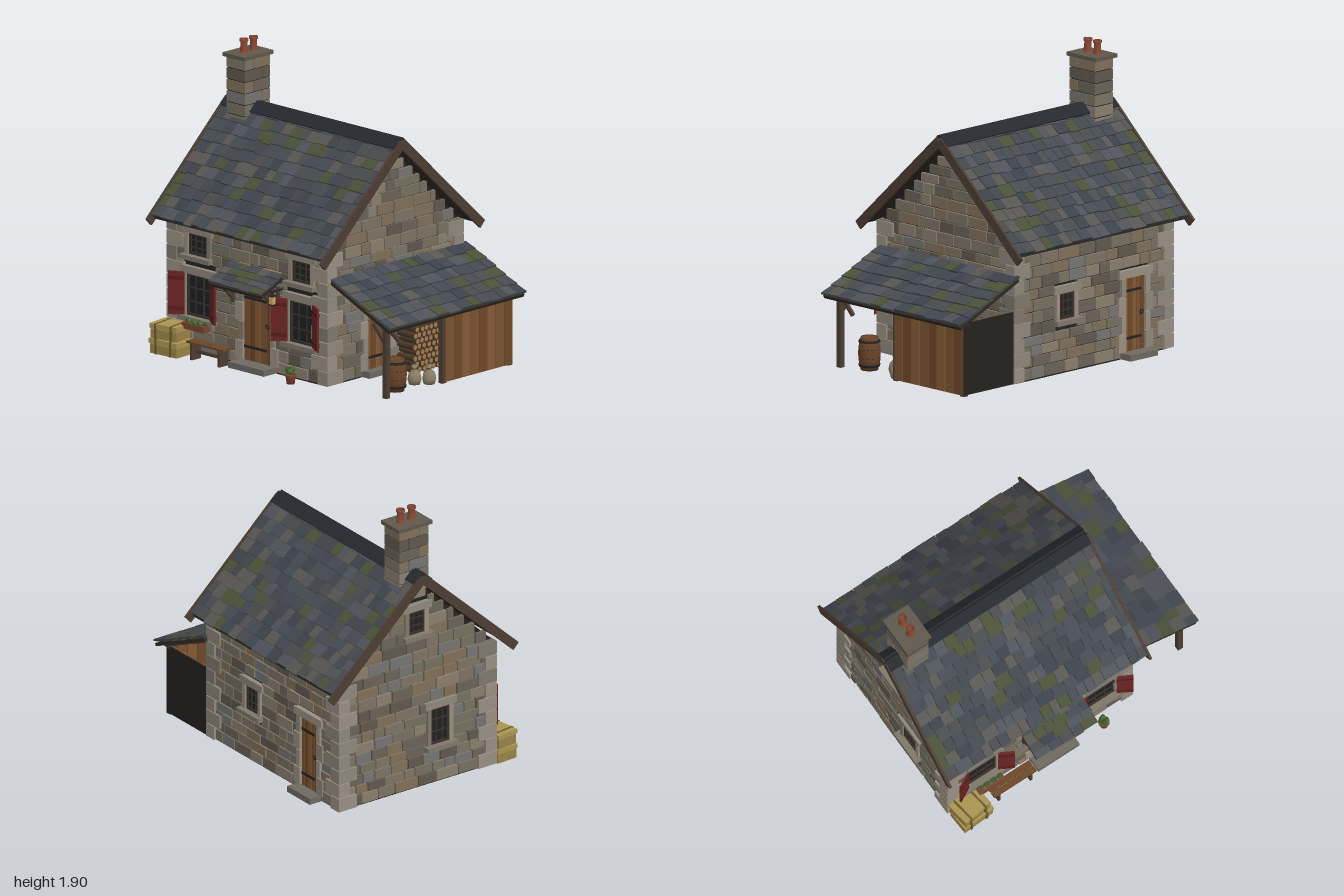
import * as THREE from 'three';
import { mergeGeometries } from 'three/addons/utils/BufferGeometryUtils.js';

const STONE = [0x7d7464, 0x6b6357, 0x8a7f6e, 0x5f584d, 0x75705f, 0x80705a, 0x777572];
const QUOIN = [0x8f877a, 0x7f786b, 0x999083];
const SLATE = [0x454a52, 0x3c4149, 0x4e5259, 0x484a4c, 0x424750, 0x575653, 0x41454c, 0x4a5038];
const PLANK = [0x7a5230, 0x6d4829, 0x845a35];
const DARK = 0x25221f, BEAM = 0x4b3d32, IRON = 0x232325, RED = 0x6e2424;

let seed = 7;
const rnd = () => (seed = (seed * 16807) % 2147483647) / 2147483647;
const pick = (list) => list[Math.floor(rnd() * list.length)];
const materials = new Map();
const material = (c) => {
  if (!materials.has(c)) materials.set(c, new THREE.MeshStandardMaterial({ color: c }));
  return materials.get(c);
};

// Collects geometry by colour, then merges it into one mesh per colour
function batch(parent, name) {
  const sets = new Map();
  const b = {
    add(color, geo, x = 0, y = 0, z = 0, rx = 0, ry = 0, rz = 0) {
      const g = geo.index ? geo.toNonIndexed() : geo;
      g.applyMatrix4(new THREE.Matrix4().makeRotationFromEuler(new THREE.Euler(rx, ry, rz, 'YXZ')).setPosition(x, y, z));
      if (!sets.has(color)) sets.set(color, []);
      sets.get(color).push(g);
    },
    box(color, w, h, d, ...place) { b.add(color, new THREE.BoxGeometry(w, h, d), ...place); },
    cyl(color, r1, r2, h, ...place) { b.add(color, new THREE.CylinderGeometry(r1, r2, h, 14), ...place); },
    lathe(color, pts, ...place) { b.add(color, new THREE.LatheGeometry(pts.map((p) => new THREE.Vector2(...p)), 18), ...place); },
    done() {
      const group = new THREE.Group();
      group.name = name;
      for (const [c, list] of sets) {
        const m = new THREE.Mesh(mergeGeometries(list), material(c));
        m.name = name;
        group.add(m);
      }
      parent.add(group);
    },
  };
  return b;
}

// Courses of stones that leave room for openings [x0, x1, y0, y1]
function stoneWall(face, name, halfAt, top, holes) {
  const b = batch(face, name);
  for (let y = 0.02; top - y > 0.025;) {
    const h = Math.min(0.062 + rnd() * 0.018, top - y), half = halfAt(y + h);
    let spans = [[-half, half]];
    for (const [x0, x1, y0, y1] of holes) {
      if (Math.min(y + h, y1) - Math.max(y, y0) < 0.025) continue;
      spans = spans.flatMap(([a, c]) => (x1 < a || x0 > c ? [[a, c]] : [[a, x0], [x1, c]])).filter(([a, c]) => c - a > 0.015);
    }
    for (const [a, c] of spans) {
      for (let x = a; x < c - 0.001;) {
        let w = 0.07 + rnd() * 0.12;
        if (c - x - w < 0.05) w = c - x;
        b.box(pick(STONE), w - 0.009, h - 0.009, 0.03, x + w / 2, y + h / 2, -0.015 - rnd() * 0.007);
        x += w;
      }
    }
    y += h;
  }
  b.done();
}

// Window with stone surround; returns the hole it needs
function windowUnit(face, x, y0, y1, w) {
  const b = batch(face, 'window'), h = y1 - y0, y = (y0 + y1) / 2;
  b.box(0x1d2124, w, h, 0.01, x, y, -0.022);
  for (const s of [-1, 1]) {
    b.box(pick(QUOIN), 0.03, h, 0.035, x + s * (w / 2 + 0.015), y, -0.012);
    b.box(0x3b3028, 0.014, h, 0.014, x + s * (w / 2 - 0.007), y, -0.012);
    b.box(0x3b3028, w, 0.014, 0.014, x, y + s * (h / 2 - 0.007), -0.012);
  }
  for (const f of [-1, 1]) b.box(0x3b3028, 0.007, h, 0.01, x + f * w / 6, y, -0.014);
  for (const f of [-1, 1]) b.box(0x3b3028, w, 0.007, 0.01, x, y + f * h / 6, -0.014);
  b.box(QUOIN[0], w + 0.1, 0.048, 0.045, x, y1 + 0.024, -0.011);
  b.box(QUOIN[1], w + 0.1, 0.03, 0.07, x, y0 - 0.015, 0.003);
  b.done();
  return [x - w / 2 - 0.03, x + w / 2 + 0.03, y0 - 0.03, y1 + 0.048];
}

// Plank door with straps, stone frame and step
function doorUnit(face, x, w, top, step) {
  const b = batch(face, 'door'), y0 = 0.055, h = top - y0, y = y0 + h / 2, n = 5;
  b.box(DARK, w, h, 0.01, x, y, -0.024);
  for (let i = 0; i < n; i++) b.box(PLANK[i % 3], w / n - 0.005, h, 0.014, x + ((i + 0.5) / n - 0.5) * w, y, -0.015);
  for (const f of [0.18, 0.82]) b.box(IRON, w * 0.8, 0.016, 0.008, x - w * 0.08, y0 + h * f, -0.006);
  b.add(IRON, new THREE.TorusGeometry(0.013, 0.004, 6, 12), x + w * 0.35, y, -0.004);
  for (const s of [-1, 1]) for (let k = 0; k < 4; k++) {
    const jw = k % 2 ? 0.04 : 0.065;
    b.box(pick(QUOIN), jw, h / 4 - 0.006, 0.04, x + s * (w / 2 + jw / 2), y0 + (k + 0.5) * h / 4, -0.012);
  }
  b.box(QUOIN[2], w + 0.12, 0.05, 0.045, x, top + 0.025, -0.011);
  b.box(0x6f6a62, w + 0.07, 0.04, step + 0.03, x, 0.035, step / 2 - 0.015);
  b.done();
  return [x - w / 2 - 0.04, x + w / 2 + 0.04, 0, top + 0.05];
}

// Slope of overlapping slates: local z runs down the slope from its top edge
function slateRoof(parent, name, width, length, rows, pos, yaw, pitch, ridge) {
  const g = new THREE.Group();
  g.name = name;
  g.position.set(...pos);
  g.rotation.set(pitch, yaw, 0, 'YXZ');
  parent.add(g);
  const b = batch(g, name + 'Slates'), step = length / rows;
  b.box(0x2e2822, width - 0.01, 0.02, length - 0.01, 0, -0.02, length / 2);
  for (let r = 0; r < rows; r++) {
    const len = r ? step * 1.4 : step;
    for (let x = -width / 2; x < width / 2 - 0.001;) {
      let w = 0.055 + rnd() * 0.06;
      if (width / 2 - x - w < 0.04) w = width / 2 - x;
      const end = (r + 1) * step + (rnd() - 0.5) * 0.014;
      b.box(pick(SLATE), w - 0.004, 0.012, len, x + w / 2, 0.002 + rnd() * 0.004, end - len / 2, -0.09);
      x += w;
    }
  }
  if (ridge) b.box(0x26292e, width, 0.018, 0.085, 0, 0.014, 0.036);
  b.done();
}

function barrel(parent, x, z) {
  const b = batch(parent, 'barrel');
  b.lathe(0x6b4428, [[0, 0], [0.055, 0], [0.068, 0.06], [0.071, 0.105], [0.068, 0.15], [0.055, 0.21], [0.05, 0.205], [0, 0.2]], x, 0.01, z);
  for (const y of [0.03, 0.075, 0.14, 0.185]) b.cyl(IRON, y > 0.1 ? 0.066 : 0.07, y > 0.1 ? 0.07 : 0.066, 0.014, x, y + 0.01, z);
  b.done();
}

export function createModel() {
  const model = new THREE.Group();
  model.name = 'cottage';
  const CX = -0.23, CZ = -0.05, HX = 0.69, HZ = 0.6, APEX = 1.44, SLOPE = 0.927;

  // Dark mortar core under the stones
  const outline = new THREE.Shape([[-HZ, 0.01], [HZ, 0.01], [HZ, 0.884], [0, APEX], [-HZ, 0.884]].map(([x, y]) => new THREE.Vector2(x * 0.965, y)));
  const core = batch(model, 'mortarCore');
  const coreGeo = new THREE.ExtrudeGeometry(outline, { depth: 2 * HX - 0.046, bevelEnabled: false }).translate(0, 0, -HX + 0.023);
  core.add(DARK, coreGeo, CX, 0, CZ, 0, Math.PI / 2);
  core.done();

  // Four walls, each in its own frame with local z facing outwards
  const wall = (name, x, z, yaw) => {
    const f = new THREE.Group();
    f.name = name;
    f.position.set(x, 0, z);
    f.rotation.y = yaw;
    model.add(f);
    return f;
  };
  const gableHalf = (y) => Math.min(HZ, (APEX - y) / SLOPE + 0.012);
  const front = wall('frontWall', CX, CZ + HZ, 0), back = wall('backWall', CX, CZ - HZ, Math.PI);
  const leftSide = wall('rightViewWall', CX + HX, CZ, Math.PI / 2), rightSide = wall('chimneySideWall', CX - HX, CZ, -Math.PI / 2);
  stoneWall(front, 'frontStones', () => HX, 0.88, [
    windowUnit(front, -0.43, 0.25, 0.52, 0.21), windowUnit(front, 0.465, 0.25, 0.52, 0.21),
    windowUnit(front, -0.435, 0.645, 0.785, 0.16), windowUnit(front, 0.465, 0.645, 0.785, 0.16),
    doorUnit(front, 0.08, 0.24, 0.55, 0.1)]);
  stoneWall(back, 'backStones', () => HX, 0.88, [windowUnit(back, -0.23, 0.36, 0.53, 0.13), doorUnit(back, 0.37, 0.17, 0.53, 0.08)]);
  stoneWall(leftSide, 'gableStones', gableHalf, 1.42, [doorUnit(leftSide, -0.14, 0.2, 0.48, 0.05)]);
  stoneWall(rightSide, 'gableStones', gableHalf, 1.42, [windowUnit(rightSide, 0.18, 0.28, 0.53, 0.14), windowUnit(rightSide, 0, 1.08, 1.24, 0.12)]);

  // Alternating corner stones
  const quoins = batch(model, 'cornerStones');
  for (const sx of [-1, 1]) for (const sz of [-1, 1]) for (let k = 0; k < 9; k++) {
    const w = k % 2 ? 0.14 : 0.085, d = k % 2 ? 0.085 : 0.14;
    quoins.box(pick(QUOIN), w, 0.088, d, CX + sx * (HX + 0.01 - w / 2), 0.066 + k * 0.0945, CZ + sz * (HZ + 0.01 - d / 2));
  }
  quoins.done();

  // Shutters, partly swung open
  const shutters = batch(front, 'shutters');
  for (const cx of [-0.43, 0.465]) for (const s of [-1, 1]) {
    const a = 0.5, x = cx + s * (0.115 + 0.05 * Math.cos(a)), z = 0.012 + 0.05 * Math.sin(a);
    shutters.box(RED, 0.105, 0.28, 0.012, x, 0.387, z, 0, -s * a);
    for (const y of [0.29, 0.485]) shutters.box(0x561b1b, 0.1, 0.022, 0.02, x, y, z, 0, -s * a);
  }
  shutters.done();

  // Main roof with barge boards and eaves boards
  const pitch = Math.atan(SLOPE), len = 0.94;
  slateRoof(model, 'frontRoof', 1.51, len, 11, [CX, 1.5, CZ], 0, pitch, true);
  slateRoof(model, 'backRoof', 1.51, len, 11, [CX, 1.5, CZ], Math.PI, pitch, true);
  const trim = batch(model, 'roofTrim');
  for (const s of [-1, 1]) {
    const cz = CZ + s * 0.485 * Math.cos(pitch), cy = 1.485 - 0.485 * Math.sin(pitch);
    for (const x of [-0.985, 0.525]) trim.box(BEAM, 0.018, 0.06, 0.97, x, cy, cz, s * pitch);
    trim.box(0x2b2724, 1.48, 0.03, 0.02, CX, 0.862, CZ + s * 0.67);
  }
  trim.done();

  // Chimney of stone courses, cap and clay pots
  const ch = batch(model, 'chimney');
  ch.box(DARK, 0.145, 0.5, 0.215, -0.81, 1.56, CZ);
  for (let k = 0; k < 6; k++) {
    const split = k % 2 ? 0.04 : -0.04, y = 1.395 + k * 0.074;
    for (const s of [-1, 1]) {
      const d = 0.115 - s * split;
      ch.box(pick(STONE), 0.16, 0.067, d - 0.006, -0.81, y, CZ + split + s * d / 2);
    }
  }
  ch.box(0x5f584d, 0.19, 0.024, 0.26, -0.815, 1.81, CZ - 0.002);
  for (const z of [-0.1, -0.015]) ch.lathe(0x8a4a34, [[0.03, 0], [0.024, 0.015], [0.022, 0.07], [0.028, 0.075], [0.028, 0.09], [0.018, 0.09], [0.016, 0.03], [0, 0.03]], -0.815, 1.82, z);
  ch.done();

  // Door canopy with brackets, and a lantern
  slateRoof(model, 'doorCanopy', 0.46, 0.22, 4, [-0.155, 0.66, 0.55], 0, 0.42, false);
  const canopy = batch(model, 'canopyBrackets');
  for (const x of [-0.35, 0.04]) {
    canopy.box(BEAM, 0.022, 0.17, 0.02, x, 0.5, 0.56);
    canopy.box(BEAM, 0.022, 0.02, 0.18, x, 0.565, 0.64);
    canopy.box(BEAM, 0.02, 0.02, 0.17, x, 0.5, 0.62, -0.75);
  }
  canopy.box(BEAM, 0.44, 0.02, 0.02, -0.155, 0.565, 0.72);
  canopy.done();
  const lantern = batch(model, 'lantern');
  lantern.box(IRON, 0.01, 0.01, 0.11, 0.07, 0.575, 0.6);
  lantern.box(0xc9a866, 0.03, 0.05, 0.03, 0.07, 0.52, 0.64);
  lantern.box(IRON, 0.038, 0.008, 0.038, 0.07, 0.492, 0.64);
  lantern.add(IRON, new THREE.ConeGeometry(0.03, 0.025, 4), 0.07, 0.558, 0.64, 0, Math.PI / 4);
  lantern.done();

  // Lean-to: roof, posts, beams and plank walls
  slateRoof(model, 'leanToRoof', 1.22, 0.57, 6, [0.46, 0.71, -0.08], Math.PI / 2, 0.416, false);
  const shed = batch(model, 'leanToFrame');
  for (const z of [0.46, -0.04, -0.63]) {
    shed.box(BEAM, 0.035, 0.48, 0.035, 0.885, 0.25, z);
    shed.box(BEAM, 0.5, 0.028, 0.028, 0.7, 0.57, z, 0, 0, -0.416);
  }
  shed.box(BEAM, 0.035, 0.03, 1.15, 0.885, 0.482, -0.08);
  shed.box(BEAM, 0.022, 0.15, 0.022, 0.83, 0.415, 0.46, 0, 0, 0.75);
  shed.box(BEAM, 0.022, 0.15, 0.022, 0.885, 0.415, 0.4, 0.75);
  shed.box(DARK, 0.43, 0.46, 0.012, 0.685, 0.25, -0.645);
  for (let i = 0; i < 8; i++) shed.box(PLANK[i % 3], 0.014, 0.46, 0.07, 0.905, 0.25, -0.08 - i * 0.0745);
  for (let i = 0; i < 4; i++) shed.box(PLANK[i % 3], 0.07, 0.46, 0.012, 0.52 + i * 0.105, 0.25, -0.634);
  shed.done();

  // Stacked firewood
  const logs = batch(model, 'firewood');
  for (let r = 0; r < 8; r++) for (let i = 0; i < 14; i++) {
    const z = -0.05 - i * 0.041 - (r % 2) * 0.02, l = 0.13 + rnd() * 0.02;
    logs.add(0x4a3626, new THREE.CylinderGeometry(0.02, 0.02, l, 8), 0.57, 0.04 + r * 0.037, z, 0, 0, Math.PI / 2);
    logs.add(0xa07d50, new THREE.CylinderGeometry(0.016, 0.016, l + 0.004, 8), 0.57, 0.04 + r * 0.037, z, 0, 0, Math.PI / 2);
  }
  logs.done();

  barrel(model, 0.8, 0.29);
  const sacks = batch(model, 'sacks');
  for (const [x, z] of [[0.77, 0.09], [0.83, 0.02]]) {
    sacks.lathe(0x8c8068, [[0, 0], [0.035, 0.002], [0.044, 0.035], [0.036, 0.075], [0.012, 0.1], [0.02, 0.125], [0, 0.12]], x, 0.005, z);
    sacks.cyl(0x5a4630, 0.015, 0.015, 0.008, x, 0.105, z);
  }
  sacks.done();

  // Wicker trunks
  const trunks = batch(model, 'trunks');
  for (const [x, y, z, w, ry] of [[-0.805, 0.01, 0.645, 0.22, 0.06], [-0.815, 0.108, 0.64, 0.2, 0.14]]) {
    trunks.box(0x9a8446, w, 0.06, 0.15, x, y + 0.03, z, 0, ry);
    trunks.box(0xab9552, w + 0.01, 0.03, 0.16, x, y + 0.08, z, 0, ry);
    for (const s of [-1, 1]) trunks.box(0x6f5a2c, 0.014, 0.098, 0.166, x + s * 0.06 * Math.cos(ry), y + 0.049, z - s * 0.06 * Math.sin(ry), 0, ry);
  }
  trunks.done();

  // Bench
  const bench = batch(model, 'bench');
  for (const z of [0.605, 0.65]) bench.box(PLANK[1], 0.32, 0.014, 0.04, -0.49, 0.12, z);
  for (const s of [-1, 1]) bench.box(BEAM, 0.018, 0.105, 0.08, -0.49 + s * 0.12, 0.06, 0.628);
  bench.box(BEAM, 0.26, 0.02, 0.014, -0.49, 0.06, 0.628);
  bench.done();

  // Window box and flower pot
  const plants = batch(model, 'planters');
  plants.box(0x7a4430, 0.19, 0.04, 0.06, -0.635, 0.205, 0.6);
  for (let i = 0; i < 7; i++) plants.add(i % 2 ? 0x4c6a34 : 0x3d5a2c, new THREE.IcosahedronGeometry(0.018, 0), -0.71 + i * 0.025, 0.232, 0.59 + (i % 2) * 0.02, i, i);
  plants.lathe(0x84432f, [[0, 0], [0.025, 0], [0.032, 0.05], [0.036, 0.05], [0.036, 0.062], [0.028, 0.062], [0, 0.055]], 0.21, 0.005, 0.62);
  for (let i = 0; i < 6; i++) plants.add(i % 2 ? 0x4c6a34 : 0x3d5a2c, new THREE.IcosahedronGeometry(0.02, 0), 0.21 + 0.017 * Math.cos(i), 0.075 + (i % 3) * 0.012, 0.62 + 0.017 * Math.sin(i), i);
  plants.done();
  return model;
}
